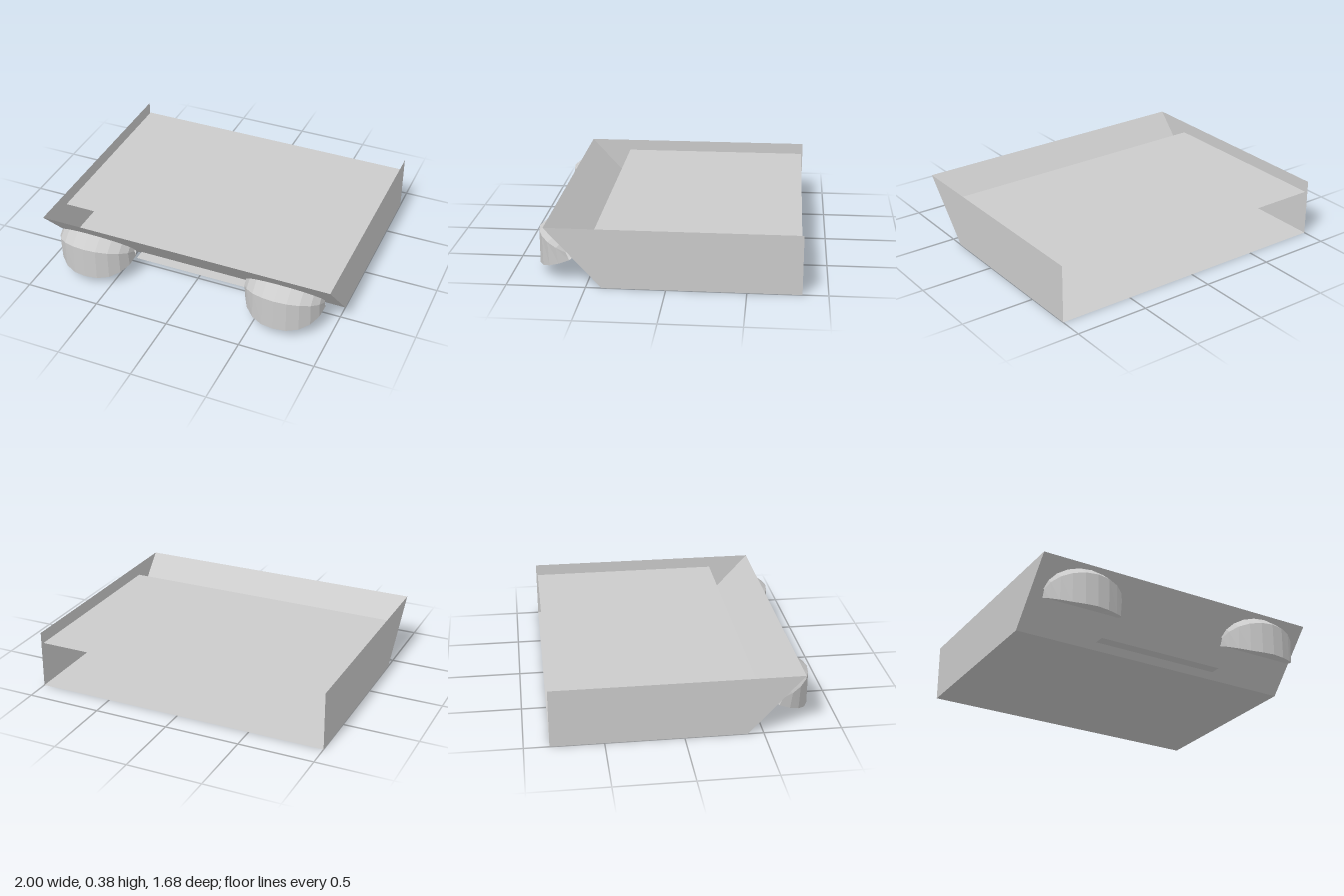
import * as THREE from 'three';

const mat = new THREE.MeshStandardMaterial({ color: 0xcccccc, flatShading: true, side: THREE.DoubleSide });

function add(group, geometry, name) {
  const mesh = new THREE.Mesh(geometry, mat);
  mesh.name = name;
  group.add(mesh);
  return mesh;
}

// Joins rows of points with quads; close links the last row to the first
function loft(rows, close = false) {
  const n = rows[0].length, index = [];
  const last = close ? rows.length : rows.length - 1;
  for (let r = 0; r < last; r++) {
    for (let i = 0; i < n - 1; i++) {
      const a = r * n + i, b = ((r + 1) % rows.length) * n + i;
      index.push(a, b, a + 1, b, b + 1, a + 1);
    }
  }
  const g = new THREE.BufferGeometry();
  g.setAttribute('position', new THREE.Float32BufferAttribute(rows.flat(2), 3));
  g.setIndex(index);
  const flat = g.toNonIndexed();
  flat.computeVertexNormals();
  return flat;
}

// Sheet across the width, from (y0, z0) to (y1, z1)
const sheet = (w, y0, z0, y1, z1) => loft([
  [[-w, y0, z0], [w, y0, z0]],
  [[-w, y1, z1], [w, y1, z1]],
]);

// Half-bowl lamp with a crest, a curved front and a sloping back
function lampGeometry() {
  const back = [], top = [], crest = [], bottom = [];
  for (let i = 0; i <= 10; i++) {
    const t = Math.PI * i / 10, s = Math.sin(t), x = 0.265 * Math.cos(t);
    const y = 0.21 + 0.14 * s;
    back.push([x * 0.95, 0.17, 0.585]);
    top.push([x, y, 0.755 - (0.35 - y) * 0.944]);
    crest.push([x, 0.2 + 0.08 * s, 0.63 + 0.21 * s]);
    bottom.push([x, Math.max(0.06, 0.15 - 0.1 * s), 0.61 + 0.23 * s]);
  }
  return loft([back, top, crest, bottom], true);
}

export function createModel() {
  const group = new THREE.Group();

  // Open tray: floor and sloping front
  add(group, sheet(1, 0, -0.84, 0, 0.4), 'floor');
  add(group, sheet(1, 0, 0.4, 0.385, 0.755), 'frontPanel');

  // Raised deck, open at the front and back, with a hanging lip
  add(group, sheet(0.99, 0.31, -0.83, 0.31, 0.47), 'deck');
  add(group, sheet(0.99, 0.31, -0.54, 0.26, -0.54), 'deckLip');

  // Small plates on the floor and below the front panel
  add(group, sheet(0.15, 0.02, -0.59, 0.02, -0.39), 'floorPlate');
  add(group, sheet(0.45, 0.04, 0.43, 0.04, 0.51), 'frontPlate');

  // Side walls and lamps
  const wall = new THREE.Shape([
    new THREE.Vector2(0.84, 0), new THREE.Vector2(-0.4, 0),
    new THREE.Vector2(-0.755, 0.385), new THREE.Vector2(0.84, 0.385),
  ]);
  const lamp = lampGeometry();
  for (const [side, label] of [[1, 'left'], [-1, 'right']]) {
    const w = add(group, new THREE.ShapeGeometry(wall), label + 'Wall');
    w.rotation.y = Math.PI / 2;
    w.position.x = side;
    add(group, lamp, label + 'Lamp').position.x = side * 0.665;
  }
  return group;
}
